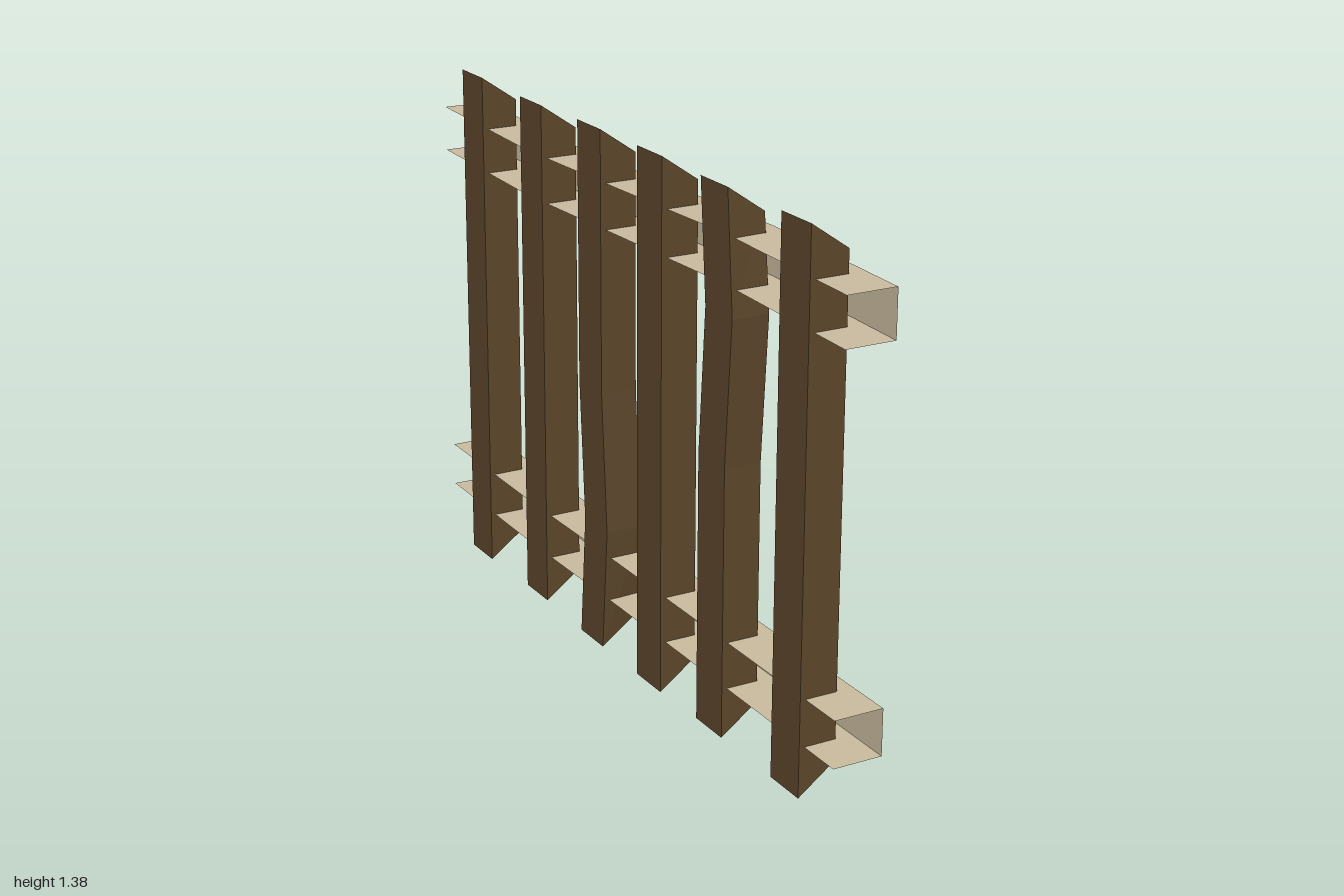
import * as THREE from 'three';

const darkWood = new THREE.MeshStandardMaterial({ name: 'darkWood', color: 0x5c462b });
const paleWood = new THREE.MeshStandardMaterial({ name: 'paleWood', color: 0xc9bb9f, side: THREE.DoubleSide });

const BACK = -0.073, FRONT = 0.025;

function faceted(geometry) {
  const flat = geometry.index ? geometry.toNonIndexed() : geometry;
  flat.computeVertexNormals();
  return flat;
}

// Upright with ends cut at a slant; bends holds the sideways shift at each height row
function makePost(name, z, bottom, top, bends = [0, 0, 0, 0, 0]) {
  const geometry = new THREE.BoxGeometry(1, 4, 0.12, 1, 4, 1);
  const p = geometry.attributes.position;
  const backRows = [bottom, 0.33, 0.7, 1.07, top];
  const frontRows = [bottom + 0.073, 0.33, 0.7, 1.07, top - 0.068];
  for (let i = 0; i < p.count; i++) {
    const row = Math.round(p.getY(i) + 2);
    const isFront = p.getX(i) > 0;
    p.setXYZ(i, isFront ? FRONT : BACK, (isFront ? frontRows : backRows)[row], p.getZ(i) + z + bends[row]);
  }
  const mesh = new THREE.Mesh(faceted(geometry), darkWood);
  mesh.name = name;
  return mesh;
}

// Thin open channel: top, outer and bottom boards; rows are [z, topY, bottomY]
function makeRail(name, rows) {
  const sections = rows.map(([z, t, b]) => [[-0.06, t, z], [0.07, t, z], [0.07, b, z], [-0.06, b, z]]);
  const vertices = [];
  for (let s = 0; s < sections.length - 1; s++) {
    const near = sections[s], far = sections[s + 1];
    for (let k = 0; k < 3; k++) {
      vertices.push(...near[k], ...near[k + 1], ...far[k + 1]);
      vertices.push(...near[k], ...far[k + 1], ...far[k]);
    }
  }
  const geometry = new THREE.BufferGeometry();
  geometry.setAttribute('position', new THREE.Float32BufferAttribute(vertices, 3));
  const mesh = new THREE.Mesh(faceted(geometry), paleWood);
  mesh.name = name;
  return mesh;
}

export function createModel() {
  const fence = new THREE.Group();
  fence.name = 'fence';

  // Posts, two of them warped
  const posts = [
    [0.818, 0.008, 1.373],
    [0.473, 0.008, 1.373, [0, 0, 0, 0.026, 0]],
    [0.174, 0.001, 1.378],
    [-0.131, 0.001, 1.378, [0, 0.026, 0, 0, 0]],
    [-0.449, 0.008, 1.373],
    [-0.794, 0, 1.378],
  ];
  posts.forEach((post, i) => fence.add(makePost(`post${i + 1}`, ...post)));

  // Rails
  fence.add(makeRail('upperRail', [
    [1, 1.245, 1.125], [0.5, 1.256, 1.137], [0, 1.243, 1.125], [-0.5, 1.232, 1.112], [-1, 1.245, 1.125],
  ]));
  fence.add(makeRail('lowerRail', [
    [1, 0.256, 0.136], [0.5, 0.256, 0.136], [0, 0.256, 0.136], [-0.5, 0.251, 0.13], [-1, 0.256, 0.136],
  ]));
  return fence;
}
